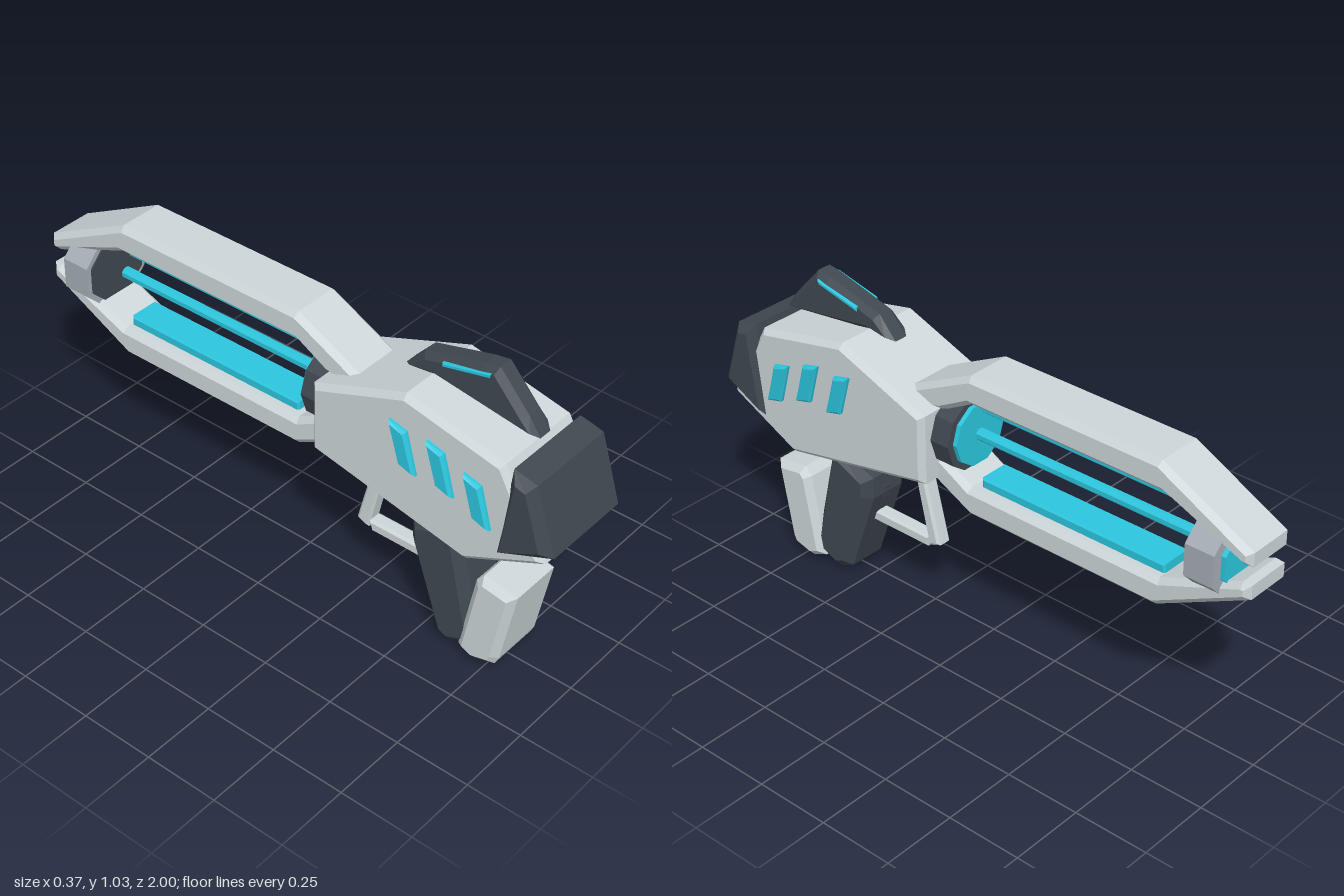
import * as THREE from 'three';

const material = (color) => new THREE.MeshStandardMaterial({ color, flatShading: true });

export function createModel() {
  const model = new THREE.Group();
  const light = material(0xccd6d9);
  const dark = material(0x3f4850);
  const cyan = material(0x2cc6de);
  const steel = material(0xa4acb4);
  const axisY = 0.695;

  const add = (name, geometry, mat) => {
    const mesh = new THREE.Mesh(geometry, mat);
    mesh.name = name;
    model.add(mesh);
    return mesh;
  };

  // Side profile of [z, y] points, extruded across x with chamfered edges
  const slab = (name, points, halfWidth, bevel, mat) => {
    const shape = new THREE.Shape(points.map(([z, y]) => new THREE.Vector2(z, y)));
    const depth = 2 * (halfWidth - bevel);
    const geometry = new THREE.ExtrudeGeometry(shape, {
      depth, bevelEnabled: true, bevelThickness: bevel, bevelSize: bevel,
      bevelOffset: -bevel, bevelSegments: 1,
    });
    geometry.translate(0, 0, -depth / 2);
    geometry.rotateY(-Math.PI / 2);
    return add(name, geometry, mat);
  };

  // Faceted cylinder along z on the barrel axis
  const barrelPart = (name, radius, z0, z1, sides, mat) => {
    const geometry = new THREE.CylinderGeometry(radius, radius, Math.abs(z1 - z0), sides);
    geometry.rotateY(Math.PI / sides);
    geometry.rotateX(Math.PI / 2);
    geometry.translate(0, axisY, (z0 + z1) / 2);
    return add(name, geometry, mat);
  };

  // Main body and end cap
  slab('body', [[0.97, 0.565], [0.82, 0.84], [0.475, 0.912], [0.14, 0.785],
    [0.14, 0.55], [0.705, 0.437]], 0.165, 0.018, light);
  slab('endCap', [[1, 0.605], [0.93, 0.825], [0.85, 0.843], [0.81, 0.522]], 0.182, 0.028, dark);

  // Sight fin with glowing slits
  slab('sightFin', [[0.84, 0.862], [0.8, 0.92], [0.695, 1.035], [0.645, 1.027],
    [0.44, 0.972], [0.375, 0.9], [0.48, 0.905]], 0.043, 0.02, dark);
  slab('sightGlow', [[0.68, 1.015], [0.515, 0.977], [0.515, 0.962], [0.675, 0.999]], 0.049, 0.004, cyan);

  // Barrel arms, mirrored above and below the axis, with inner glow strips
  const arm = [[0.25, 0.825], [0.02, 0.94], [-0.68, 0.94], [-1, 0.777], [-1, 0.73],
    [-0.97, 0.728], [-0.69, 0.843], [0.02, 0.843], [0.13, 0.782], [0.25, 0.76]];
  const strip = [[0, 0.85], [0, 0.813], [-0.69, 0.813], [-0.69, 0.85]];
  for (const [side, sign] of [['upper', 1], ['lower', -1]]) {
    const flip = (points) => points.map(([z, y]) => [z, 0.7 + sign * (y - 0.7)]);
    slab(side + 'Arm', flip(arm), 0.093, 0.018, light);
    slab(side + 'GlowStrip', flip(strip), 0.055, 0.006, cyan);
  }

  // Emitter, energy rod and muzzle
  barrelPart('emitterBase', 0.127, 0.2, 0.07, 10, dark);
  barrelPart('emitterGlow', 0.105, 0.08, 0.055, 10, cyan);
  barrelPart('energyRod', 0.02, 0.06, -0.76, 8, cyan);
  barrelPart('muzzleBack', 0.118, -0.8, -0.82, 8, dark);
  barrelPart('muzzleRing', 0.137, -0.805, -0.905, 8, steel);
  barrelPart('muzzleGlow', 0.1, -0.89, -0.92, 8, cyan);

  // Slanted glowing vents on both flanks
  for (const x of [-0.165, 0.165]) {
    for (const [z, y] of [[0.745, 0.68], [0.615, 0.727], [0.483, 0.736]]) {
      const half = 0.018, h = 0.069, w = 0.031, lean = 0.019;
      const vent = slab('vent', [[z + w - lean, y + h - 0.008], [z - w - lean, y + h + 0.008],
        [z - w + lean, y - h + 0.008], [z + w + lean, y - h - 0.008]].map(([a, b]) => [a, b]),
      half, 0.009, cyan);
      vent.position.x = x;
    }
  }

  // Grip, rear pad, trigger and guard
  slab('grip', [[0.615, 0.47], [0.45, 0.4], [0.45, 0.325], [0.555, 0.025], [0.605, 0],
    [0.7, 0.04], [0.705, 0.085]], 0.093, 0.03, dark);
  slab('rearPad', [[0.85, 0.325], [0.73, 0.345], [0.705, 0.315], [0.652, 0.035],
    [0.71, 0.01], [0.785, 0.03], [0.8, 0.06]], 0.11, 0.022, light);
  slab('trigger', [[0.48, 0.36], [0.448, 0.35], [0.455, 0.305], [0.49, 0.305]], 0.02, 0.005, dark);
  slab('guardFront', [[0.32, 0.53], [0.28, 0.53], [0.205, 0.235], [0.25, 0.218]], 0.028, 0.009, light);
  slab('guardBottom', [[0.52, 0.25], [0.25, 0.25], [0.26, 0.208], [0.5, 0.208]], 0.026, 0.009, light);

  return model;
}
